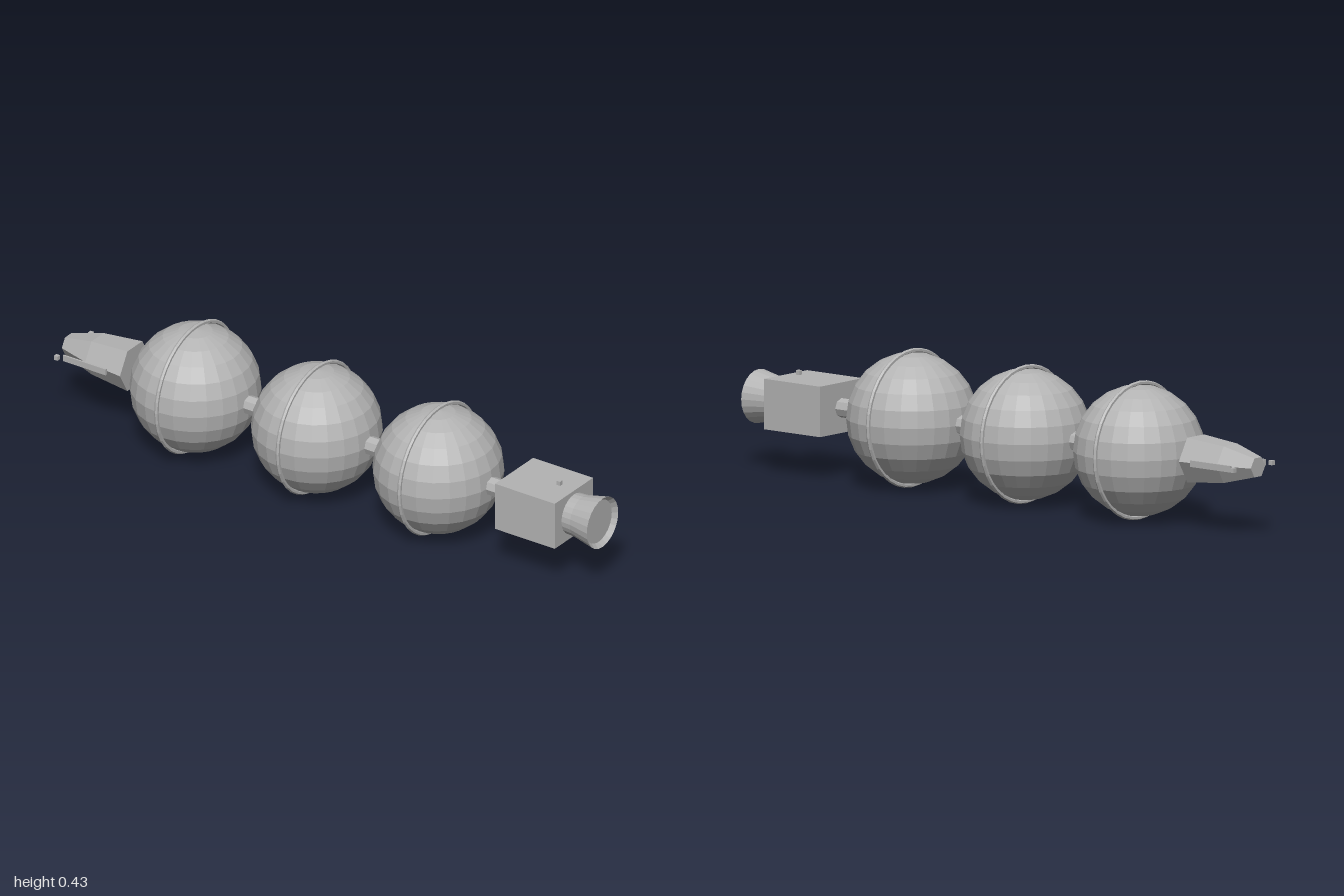
import * as THREE from 'three';

export function createModel() {
  const model = new THREE.Group();
  model.name = 'spacecraft';
  const hull = new THREE.MeshStandardMaterial({ color: 0xb3b3b3, flatShading: true });
  hull.name = 'hull grey';
  const axisY = 0.217;

  const add = (name, geometry, x, y, z) => {
    const mesh = new THREE.Mesh(geometry, hull);
    mesh.name = name;
    mesh.position.set(x, axisY + y, z);
    model.add(mesh);
    return mesh;
  };
  // Turned part along z; each profile point is [radius, z]
  const turned = (name, profile, sides, start = 0) => {
    const points = profile.map(([r, z]) => new THREE.Vector2(r, z));
    return add(name, new THREE.LatheGeometry(points, sides, start).rotateX(Math.PI / 2), 0, 0, 0);
  };

  // Three spherical tanks, each with a thin hoop
  [0.386, -0.069, -0.523].forEach((z, i) => {
    add(`tank${i + 1}`, new THREE.SphereGeometry(0.203, 24, 12), 0, 0, z);
    add(`tankHoop${i + 1}`, new THREE.TorusGeometry(0.209, 0.007, 6, 36), 0, 0, z);
  });

  // Connecting tubes between the engine block and the tanks
  [[0.53, 0.68], [0.09, 0.23], [-0.37, -0.22]].forEach(([back, front], i) => {
    turned(`connector${i + 1}`, [[0, back], [0.03, back], [0.03, front], [0, front]], 8);
  });

  // Engine block, with a small marker light on top
  add('engineBlock', new THREE.BoxGeometry(0.204, 0.157, 0.224), 0, 0, 0.781);
  add('topLight', new THREE.BoxGeometry(0.014, 0.014, 0.014), 0, 0.091, 0.839);

  // Flared nozzle with a recessed disc
  turned('nozzle', [
    [0, 0.89], [0.066, 0.89], [0.068, 0.925], [0.084, 1], [0.071, 0.985], [0, 0.985],
  ], 24);

  // Six-sided crew capsule, set apart from the last tank
  turned('capsule', [
    [0, -1], [0.034, -1], [0.066, -0.89], [0.08, -0.75], [0, -0.75],
  ], 6, Math.PI / 2);

  // Side rails and marker lights on the capsule
  for (const [side, s] of [['left', 1], ['right', -1]]) {
    add(`${side}Rail`, new THREE.BoxGeometry(0.006, 0.02, 0.16), s * 0.082, 0, -0.88);
    add(`${side}Light`, new THREE.BoxGeometry(0.014, 0.014, 0.014), s * 0.091, 0, -0.978);
  }
  return model;
}
